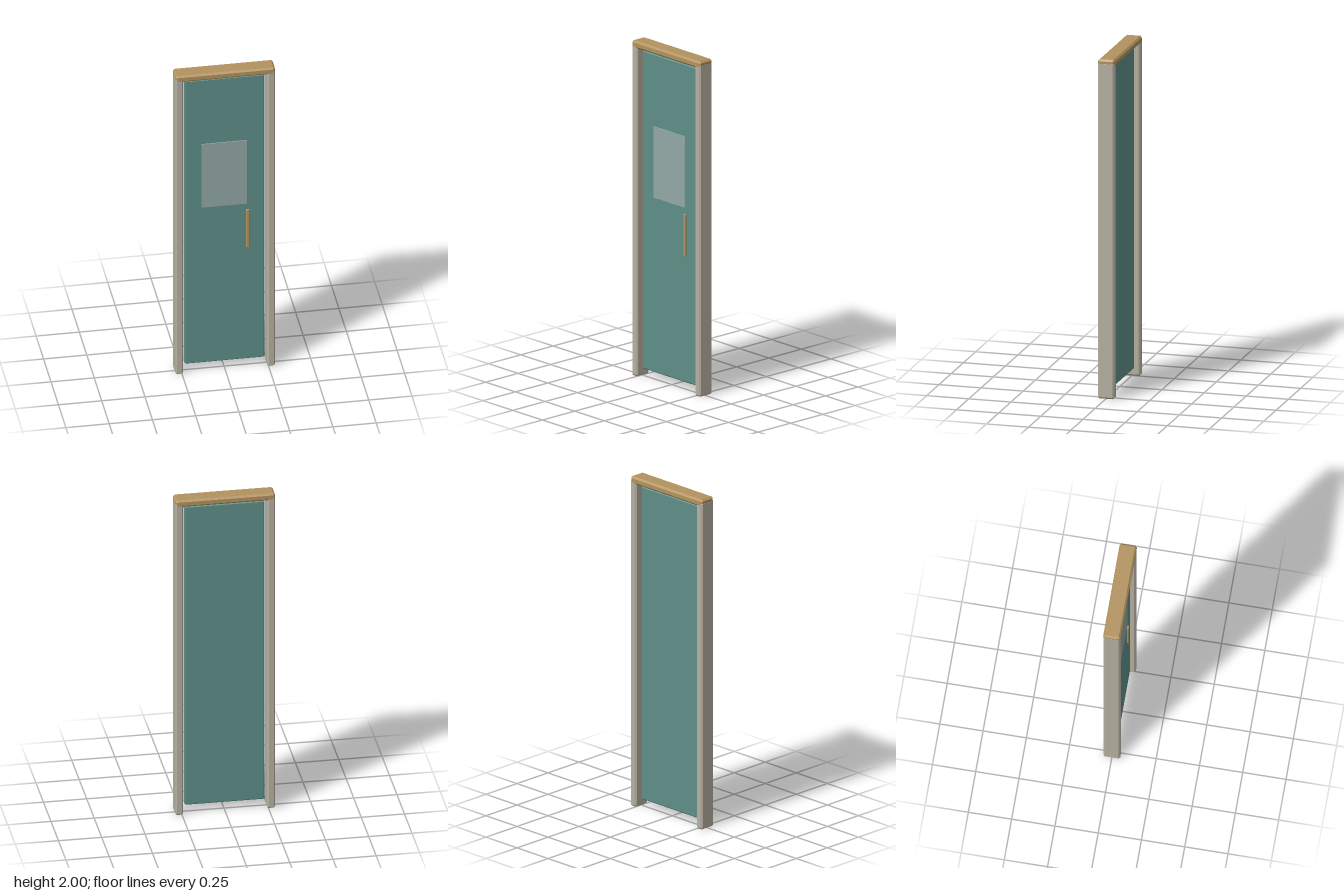
import * as THREE from 'three';
import { ConvexGeometry } from 'three/addons/geometries/ConvexGeometry.js';

const paint = (name, color) => {
  const m = new THREE.MeshStandardMaterial({ color });
  m.name = name;
  return m;
};

// Box with flat chamfers on every edge, given by its min and max corners
function chamferBox(min, max, c) {
  const mid = min.map((v, i) => (v + max[i]) / 2);
  const half = min.map((v, i) => (max[i] - v) / 2);
  const points = [];
  for (const sx of [-1, 1]) for (const sy of [-1, 1]) for (const sz of [-1, 1]) {
    const s = [sx, sy, sz];
    for (let axis = 0; axis < 3; axis++) {
      const p = s.map((sign, i) => mid[i] + sign * (half[i] - (i === axis ? 0 : c)));
      points.push(new THREE.Vector3(...p));
    }
  }
  return new ConvexGeometry(points);
}

export function createModel() {
  const group = new THREE.Group();
  group.name = 'door';
  const stone = paint('pale stone', 0xb8b1a3);
  const wood = paint('tan wood', 0xb3935f);
  const teal = paint('teal panel', 0x5f8f89);
  const glass = paint('grey glass', 0x93a8a5);

  const add = (name, material, min, max, chamfer) => {
    const mesh = new THREE.Mesh(chamferBox(min, max, chamfer), material);
    mesh.name = name;
    group.add(mesh);
  };

  // Frame: two posts and a lintel that overlaps their tops
  add('leftPost', stone, [0.243, 0, -0.0505], [0.2885, 1.984, 0.0475], 0.009);
  add('rightPost', stone, [-0.2885, 0, -0.0505], [-0.243, 1.984, 0.0475], 0.009);
  add('lintel', wood, [-0.288, 1.957, -0.051], [0.288, 2, 0.048], 0.01);

  // Door leaf, hung with a small gap all round
  add('doorLeaf', teal, [-0.231, 0.047, -0.02], [0.231, 1.945, 0.017], 0.006);

  // Window pane and pull handle on the front
  add('windowPane', glass, [-0.134, 1.088, 0.013], [0.131, 1.515, 0.02], 0.001);
  add('handle', wood, [0.124, 0.8, 0.015], [0.143, 1.052, 0.028], 0.003);

  return group;
}
